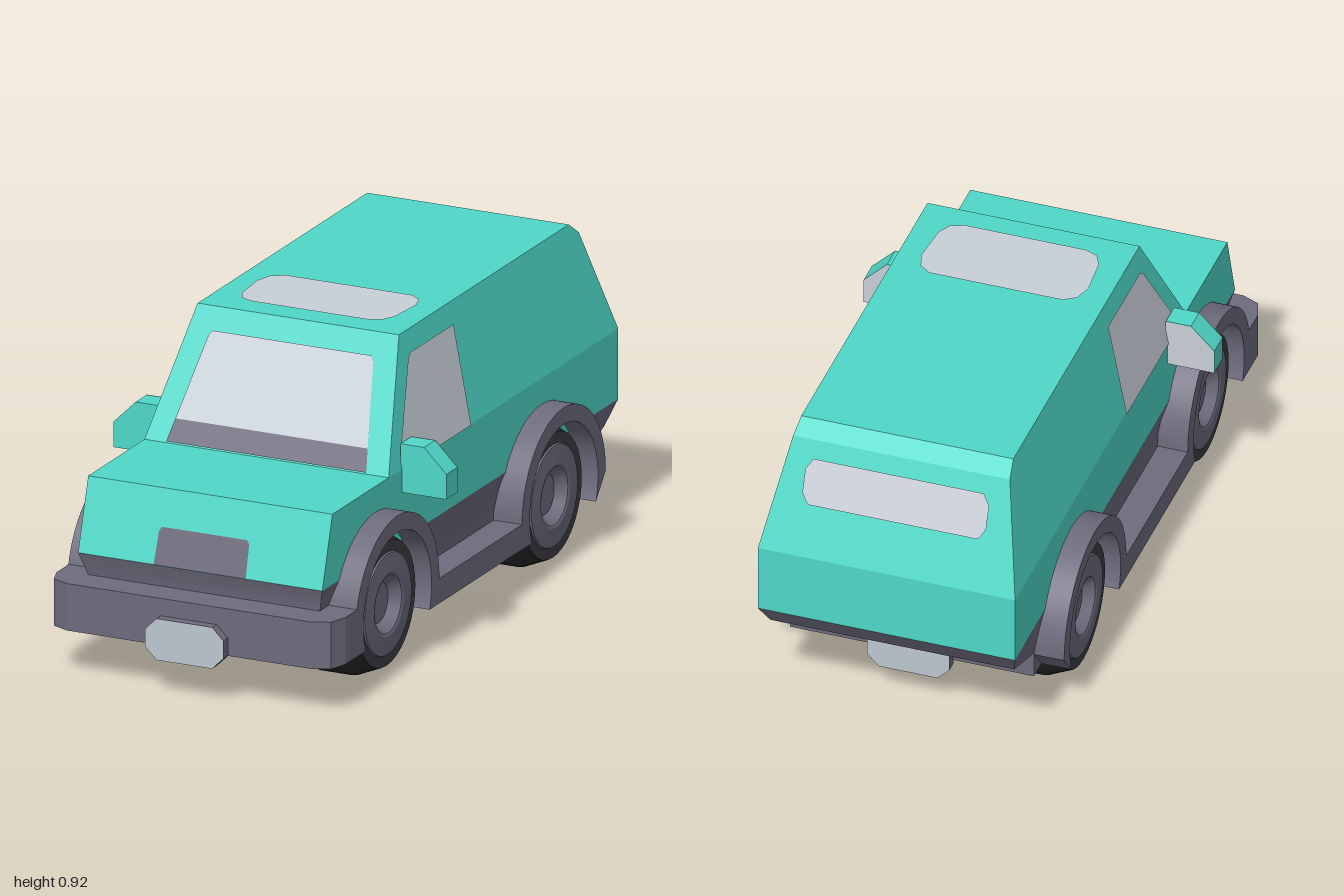
import * as THREE from 'three';
import { toCreasedNormals } from 'three/addons/utils/BufferGeometryUtils.js';

const mat = (name, color, side = THREE.FrontSide) => {
  const m = new THREE.MeshStandardMaterial({ color, side });
  m.name = name;
  return m;
};

export function createModel() {
  const paint = mat('teal paint', 0x4fd8c8);
  const trim = mat('grey trim', 0x6e6b7d, THREE.DoubleSide);
  const glass = mat('pale glass', 0xc9cfd8, THREE.DoubleSide);
  const plateMat = mat('plate', 0xbcc7ce, THREE.DoubleSide);
  const rubber = mat('black rubber', 0x28282a);
  const sidewall = mat('tyre sidewall', 0x3d3c43);

  const model = new THREE.Group();
  model.name = 'van';
  const add = (name, geo, m, parent = model) => {
    const mesh = new THREE.Mesh(geo, m);
    mesh.name = name;
    parent.add(mesh);
    return mesh;
  };
  const shapeOf = pts => new THREE.Shape(pts.map(p => new THREE.Vector2(...p)));
  const extrude = (shape, depth) =>
    new THREE.ExtrudeGeometry(shape, { depth, bevelEnabled: false, curveSegments: 28 });

  // Extrudes a (z, y) side profile across x0..x1; width(y) optionally tapers it
  function sideExtrude(shape, x0, x1, taper) {
    const g = extrude(shape, x1 - x0).rotateY(-Math.PI / 2).translate(x1, 0, 0);
    const p = g.attributes.position;
    if (taper) for (let i = 0; i < p.count; i++) p.setX(i, Math.sign(p.getX(i)) * taper(p.getY(i)));
    return toCreasedNormals(g, 0.4);
  }

  // Flat convex panel from 3D corners
  function panel(name, m, pts) {
    const g = new THREE.BufferGeometry();
    g.setFromPoints(pts.map(p => new THREE.Vector3(...p)));
    const idx = [];
    for (let i = 1; i < pts.length - 1; i++) idx.push(0, i, i + 1);
    g.setIndex(idx);
    g.computeVertexNormals();
    return add(name, g, m);
  }

  // Rectangle outline with clipped corners
  const clipped = (x, y0, y1, c, d = c) => [
    [-x + c, y0], [x - c, y0], [x, y0 + d], [x, y1 - d],
    [x - c, y1], [-x + c, y1], [-x, y1 - d], [-x, y0 + d]];

  // Body shell
  const W = 0.385;
  const cabWidth = y => W - Math.max(0, y - 0.56) * 0.19;
  add('lowerBody', sideExtrude(shapeOf([
    [-1, 0.35], [0.895, 0.35], [0.83, 0.56], [-1, 0.56]]), -W, W), paint);
  add('cabin', sideExtrude(shapeOf([
    [-1, 0.56], [0.47, 0.56], [0.267, 0.915], [-0.82, 0.915], [-0.87, 0.878]]), -W, W, cabWidth), paint);

  // Chassis tapering in under the body
  add('chassis', sideExtrude(shapeOf([
    [-0.78, 0.14], [0.87, 0.14], [0.87, 0.28], [0.895, 0.35],
    [-1, 0.35], [-0.95, 0.28], [-0.78, 0.22]]), -W, W, y => (y > 0.3 ? W : 0.365)), trim);

  // Wheel arches and sill, one outline per side
  const wheelZ = [0.555, -0.51], R = 0.2145, arch = 0.268, gap = 0.218;
  const a = Math.asin((R - 0.14) / gap);
  const s = new THREE.Shape();
  s.moveTo(-0.78, 0.14);
  s.absarc(wheelZ[1], R, gap, Math.PI + a, -a, true);
  s.absarc(wheelZ[0], R, gap, Math.PI + a, -a, true);
  s.lineTo(0.85, 0.14);
  s.lineTo(0.85, 0.28);
  s.absarc(wheelZ[0], R, arch, 0.25, Math.PI, false);
  s.absarc(wheelZ[1], R, arch, 0, Math.PI, false);
  s.closePath();
  add('leftArches', sideExtrude(s, 0.33, 0.455), trim);
  add('rightArches', sideExtrude(s, -0.455, -0.33), trim);

  // Front bumper with clipped corners
  add('frontBumper', toCreasedNormals(extrude(shapeOf([
    [-0.455, 0.8], [0.455, 0.8], [0.455, 0.89], [0.437, 0.945], [0.385, 0.968],
    [-0.385, 0.968], [-0.437, 0.945], [-0.455, 0.89]]), 0.14)
    .rotateX(Math.PI / 2).translate(0, 0.28, 0), 0.2), trim);

  // Plates on their holders, front and rear
  for (const [name, y0, y1, z0, zFace] of [
    ['front', 0.105, 0.228, 0.96, 0.998], ['rear', 0.09, 0.212, -0.81, -0.813]]) {
    const outline = clipped(0.123, y0, y1, 0.035);
    add(name + 'PlateHolder', extrude(shapeOf(outline), 0.036).translate(0, 0, z0), trim);
    panel(name + 'Plate', plateMat,
      (z0 > 0 ? outline : outline.slice().reverse()).map(([x, y]) => [x, y, zFace]));
  }

  // Windshield with grey lower band
  const onShield = ([x, y]) => [x, y, 0.47 - (y - 0.56) * 0.572 + 0.005];
  panel('windshield', glass, [[-0.303, 0.625], [0.303, 0.625], [0.26, 0.843],
    [0.25, 0.855], [-0.25, 0.855], [-0.26, 0.843]].map(onShield));
  panel('cowl', trim, [[-0.315, 0.565], [0.315, 0.565], [0.303, 0.625], [-0.303, 0.625]].map(onShield));

  // Grille on the sloping nose
  const onNose = ([x, y]) => [x, y, 0.895 - (y - 0.35) * 0.31 + 0.004];
  panel('grille', trim, [[-0.145, 0.352], [0.145, 0.352], [0.142, 0.445],
    [0.134, 0.456], [-0.134, 0.456], [-0.142, 0.445]].map(onNose));

  // Roof and rear windows
  panel('roofWindow', glass, [[-0.25, 0.02], [-0.235, -0.03], [-0.2, -0.055], [0.2, -0.055],
    [0.235, -0.03], [0.25, 0.02], [0.24, 0.14], [0.22, 0.18], [0.18, 0.195], [-0.18, 0.195],
    [-0.22, 0.18], [-0.24, 0.14]].reverse().map(([x, z]) => [x, 0.919, z]));
  panel('rearWindow', glass, clipped(0.275, 0.705, 0.83, 0.02, 0.03).reverse()
    .map(([x, y]) => [x, y, -1 + (y - 0.56) * 0.409 - 0.005]));

  // Side windows
  for (const side of [1, -1]) {
    const pts = [[0.37, 0.56], [-0.05, 0.56], [-0.05, 0.853], [0.228, 0.853], [0.245, 0.84], [0.37, 0.63]]
      .map(([z, y]) => [side * (cabWidth(y) + 0.004), y, z]);
    panel(side > 0 ? 'leftWindow' : 'rightWindow', glass, side > 0 ? pts : pts.reverse());
  }

  // Door mirrors
  for (const side of [1, -1]) {
    const outline = [[0.38, 0.49], [0.525, 0.49], [0.525, 0.565], [0.455, 0.635], [0.38, 0.635]]
      .map(([x, y]) => [side * x, y]);
    const label = side > 0 ? 'left' : 'right';
    add(label + 'Mirror', extrude(shapeOf(outline), 0.07).translate(0, 0, 0.315), paint);
    panel(label + 'MirrorGlass', glass, (side > 0 ? outline.reverse() : outline)
      .map(([x, y]) => [x, y, 0.312]));
  }

  // Wheels: tread, sidewall and dished rim
  const lathe = pts => toCreasedNormals(new THREE.LatheGeometry(
    pts.map(p => new THREE.Vector2(...p)), 36).rotateZ(-Math.PI / 2), 0.3);
  const tread = lathe([[0, 0.18], [0.185, 0.18], [R, 0.25], [R, 0.35], [0.185, 0.42]]);
  const wall = lathe([[0.185, 0.42], [0.15, 0.42]]);
  const rim = lathe([[0.155, 0.415], [0.15, 0.425], [0.095, 0.428], [0.086, 0.425],
    [0.062, 0.39], [0.06, 0.395], [0, 0.395]]);
  for (const z of wheelZ) for (const side of [1, -1]) {
    const wheel = new THREE.Group();
    wheel.name = (z > 0 ? 'front' : 'rear') + (side > 0 ? 'Left' : 'Right') + 'Wheel';
    add('tread', tread, rubber, wheel);
    add('sidewall', wall, sidewall, wheel);
    add('rim', rim, trim, wheel);
    wheel.position.set(0, R, z);
    if (side < 0) wheel.rotation.y = Math.PI;
    model.add(wheel);
  }
  return model;
}
